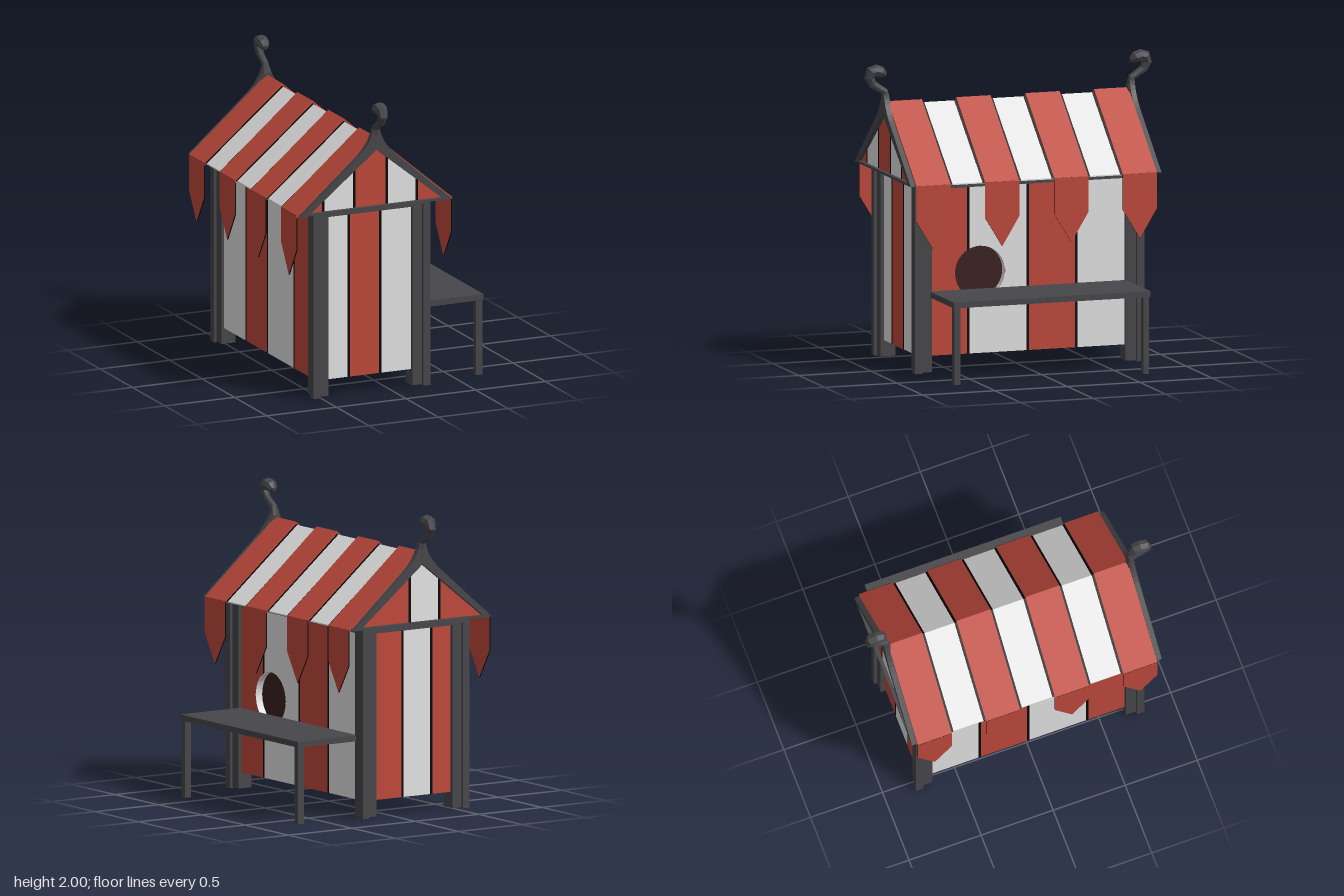
import * as THREE from 'three';

const paint = (name, color) => new THREE.MeshStandardMaterial({ name, color, side: THREE.DoubleSide });

export function createModel() {
  const red = paint('canvas red', 0xbf493c);
  const white = paint('canvas white', 0xe4e4e4);
  const dark = paint('dark timber', 0x47474b);
  const black = paint('black seam', 0x060606);
  const brown = paint('dark interior', 0x3b2020);

  const model = new THREE.Group();
  model.name = 'stripedBooth';
  const booth = new THREE.Group();
  booth.name = 'booth';
  booth.position.x = -0.15;
  model.add(booth);

  const add = (parent, name, geo, mat, x = 0, y = 0, z = 0) => {
    const m = new THREE.Mesh(geo, mat);
    m.name = name;
    m.position.set(x, y, z);
    parent.add(m);
    return m;
  };
  const box = (parent, name, mat, x0, x1, y0, y1, z0, z1) => add(parent, name,
    new THREE.BoxGeometry(x1 - x0, y1 - y0, z1 - z0), mat, (x0 + x1) / 2, (y0 + y1) / 2, (z0 + z1) / 2);
  const poly = (pts) => new THREE.Shape(pts.map(p => new THREE.Vector2(p[0], p[1])));

  // Splits a row of stripes into [start, end, material], with a black seam at each join
  const bands = (edges, mats, half = 0.009) => {
    const out = [];
    mats.forEach((m, i) => {
      const last = i === mats.length - 1;
      out.push([edges[i] + (i ? half : 0), edges[i + 1] - (last ? 0 : half), m]);
      if (!last) out.push([edges[i + 1] - half, edges[i + 1] + half, black]);
    });
    return out;
  };

  // Striped walls; each stripe is made of a lower and an upper half so a round window can be cut
  const HX = 0.38, HZ = 0.75, Y0 = 0.12, Y1 = 1.25, CY = 0.655, R = 0.172, CS = -0.33;
  const wall = (name, edges, mats, hole, x, z, turn) => {
    const g = new THREE.Group();
    g.name = name;
    g.position.set(x, 0, z);
    g.rotation.y = turn;
    booth.add(g);
    for (const [a, b, mat] of bands(edges, mats)) {
      for (const [end, sign] of [[Y0, -1], [Y1, 1]]) {
        const pts = [[a, end], [b, end]];
        const n = hole ? 60 : 1;
        for (let i = n; i >= 0; i--) {
          const s = a + (b - a) * i / n;
          const d = hole ? Math.sqrt(Math.max(0, R * R - (s - CS) ** 2)) : 0;
          pts.push([s, CY + sign * d]);
        }
        add(g, 'wallStripe', new THREE.ShapeGeometry(poly(pts)), mat);
      }
    }
  };
  wall('rightSideWall', [-HZ, -0.41, 0, 0.335, HZ], [red, white, red, white], true, HX, 0, Math.PI / 2);
  wall('leftSideWall', [-HZ, -0.335, 0, 0.41, HZ], [white, red, white, red], false, -HX, 0, -Math.PI / 2);
  wall('frontWall', [-HX, -0.147, 0.08, HX], [white, red, white], false, 0, HZ, 0);
  wall('backWall', [-HX, -0.08, 0.147, HX], [red, white, red], false, 0, -HZ, Math.PI);
  box(booth, 'floor', red, -HX + 0.002, HX - 0.002, Y0, Y0 + 0.008, -HZ + 0.002, HZ - 0.002);

  // Round window: reveal and dark backing
  const reveal = new THREE.CylinderGeometry(R, R, 0.05, 40, 1, true).rotateZ(Math.PI / 2);
  add(booth, 'windowReveal', reveal, white, HX - 0.026, CY, -CS);
  add(booth, 'windowBacking', new THREE.CircleGeometry(R, 40).rotateY(Math.PI / 2), brown, HX - 0.05, CY, -CS);

  // Box placed by its distance from the centre, on the chosen side of x and z
  const cornerBox = (name, sx, sz, x0, x1, y0, y1, z0, z1) => box(booth, name, dark,
    Math.min(sx * x0, sx * x1), Math.max(sx * x0, sx * x1), y0, y1,
    Math.min(sz * z0, sz * z1), Math.max(sz * z0, sz * z1));

  // Corner posts: a square core with a slim square on the outer corner; beams with a raised upper edge
  for (const sx of [-1, 1]) {
    for (const sz of [-1, 1]) {
      cornerBox('cornerPost', sx, sz, 0.3, 0.4, 0.015, 1.272, 0.67, 0.773);
      cornerBox('cornerPostEdge', sx, sz, 0.37, 0.42, 0.01, 1.272, 0.742, 0.793);
    }
    cornerBox('sideBeam', sx, 1, 0.32, 0.4, 1.222, 1.27, -0.76, 0.76);
    cornerBox('sideBeamEdge', sx, 1, 0.37, 0.42, 1.237, 1.272, -0.76, 0.76);
    cornerBox('endBeam', 1, sx, -0.39, 0.39, 1.222, 1.27, 0.69, 0.773);
    cornerBox('endBeamEdge', 1, sx, -0.39, 0.39, 1.237, 1.272, 0.74, 0.793);
  }

  // Roof: white canvas with raised red strips and pointed flaps
  const roofStrip = (name, mat, lift, thick, z0, z1) => {
    const half = 0.547 + lift * 0.5;
    const top = [[-half, 1.275], [0, 1.73 + lift], [half, 1.275]];
    const under = top.map(([x, y]) => [x, y - thick]).reverse();
    const geo = new THREE.ExtrudeGeometry(poly([...top, ...under]), { depth: z1 - z0, bevelEnabled: false });
    add(booth, name, geo, mat, 0, 0, z0);
  };
  const flap = poly([[-0.118, 1.275], [-0.118, 1.04], [0, 0.847], [0.118, 1.04], [0.118, 1.275]]);
  const flapGeo = new THREE.ExtrudeGeometry(flap, { depth: 0.008, bevelEnabled: false }).rotateY(Math.PI / 2);
  const centres = [-0.713, -0.239, 0.239, 0.713];
  centres.forEach((c, i) => {
    roofStrip('redRoofStrip', red, 0.02, 0.018, c - 0.118, c + 0.118);
    for (const sx of [-1, 1]) add(booth, 'roofFlap', flapGeo, [red, black], sx * 0.555 - 0.004, 0, c);
    if (i === 3) return;
    const a = c + 0.118, b = centres[i + 1] - 0.118;
    roofStrip('whiteRoofStrip', white, 0, 0.008, a, b);
    roofStrip('roofSeam', black, 0.003, 0.004, a, a + 0.015);
    roofStrip('roofSeam', black, 0.003, 0.004, b - 0.015, b);
  });

  // Gable frame: slim triangle sweeping up into a neck
  const frame = new THREE.Shape();
  frame.moveTo(-0.545, 1.27);
  frame.lineTo(0.545, 1.27);
  frame.lineTo(0.15, 1.612);
  frame.quadraticCurveTo(0.045, 1.7, 0.024, 1.8);
  frame.lineTo(-0.024, 1.8);
  frame.quadraticCurveTo(-0.045, 1.7, -0.15, 1.612);
  frame.holes.push(poly([[-0.475, 1.285], [0, 1.665], [0.475, 1.285]]));
  const frameGeo = new THREE.ExtrudeGeometry(frame, { depth: 0.034, bevelEnabled: false, curveSegments: 6 });

  // Curled finial: elliptical sections [z, y, half width, half thickness]
  const sections = [[0.845, 1.68, 0.06, 0.024], [0.843, 1.76, 0.034, 0.027], [0.855, 1.815, 0.024, 0.025],
    [0.895, 1.84, 0.023, 0.025], [0.935, 1.865, 0.025, 0.029], [0.96, 1.91, 0.033, 0.035],
    [0.945, 1.947, 0.042, 0.042], [0.915, 1.955, 0.046, 0.042], [0.88, 1.945, 0.042, 0.038],
    [0.856, 1.925, 0.026, 0.024], [0.846, 1.912, 0.001, 0.001]];
  const SIDES = 8, pos = [], idx = [];
  sections.forEach(([z, y, w, t], i) => {
    const p = sections[Math.max(0, i - 1)], n = sections[Math.min(sections.length - 1, i + 1)];
    const len = Math.hypot(n[0] - p[0], n[1] - p[1]);
    const nz = (n[1] - p[1]) / len, ny = -(n[0] - p[0]) / len;
    for (let k = 0; k < SIDES; k++) {
      const a = k / SIDES * Math.PI * 2, s = Math.sin(a) * t;
      pos.push(Math.cos(a) * w, y + ny * s, z + nz * s);
      if (i) {
        const k2 = (k + 1) % SIDES, r0 = (i - 1) * SIDES, r1 = i * SIDES;
        idx.push(r0 + k, r1 + k, r0 + k2, r0 + k2, r1 + k, r1 + k2);
      }
    }
  });
  const curl = new THREE.BufferGeometry();
  curl.setAttribute('position', new THREE.Float32BufferAttribute(pos, 3));
  curl.setIndex(idx);
  const finialGeo = curl.toNonIndexed();
  finialGeo.computeVertexNormals();

  // Both gable ends
  const height = (x) => 1.69 - 0.82 * Math.abs(x);
  const gable = (name, turn, edges, mats) => {
    const g = new THREE.Group();
    g.name = name;
    g.rotation.y = turn;
    booth.add(g);
    for (const [a, b, mat] of bands(edges, mats)) {
      const pts = [[a, 1.272], [b, 1.272], [b, height(b)]];
      if (a < 0 && b > 0) pts.push([0, height(0)]);
      pts.push([a, height(a)]);
      add(g, 'gableStripe', new THREE.ShapeGeometry(poly(pts)), mat, 0, 0, 0.842);
    }
    add(g, 'gableFrame', frameGeo, dark, 0, 0, 0.833);
    add(g, 'finial', finialGeo, dark);
    box(g, 'gableSoffit', dark, -0.54, 0.54, 1.273, 1.281, 0.62, 0.84);
  };
  gable('frontGable', 0, [-0.505, -0.37, -0.147, 0.085, 0.3, 0.505], [red, white, red, white, red]);
  gable('backGable', Math.PI, [-0.505, -0.085, 0.147, 0.505], [red, white, red]);

  // Side bench
  const bench = new THREE.Group();
  bench.name = 'bench';
  booth.add(bench);
  box(bench, 'benchTop', dark, 0.382, 0.855, 0.507, 0.545, -0.68, 0.68);
  for (const s of [-1, 1]) box(bench, 'benchLeg', dark, 0.803, 0.85, 0, 0.507, s * 0.653 - 0.02, s * 0.653 + 0.02);

  return model;
}
